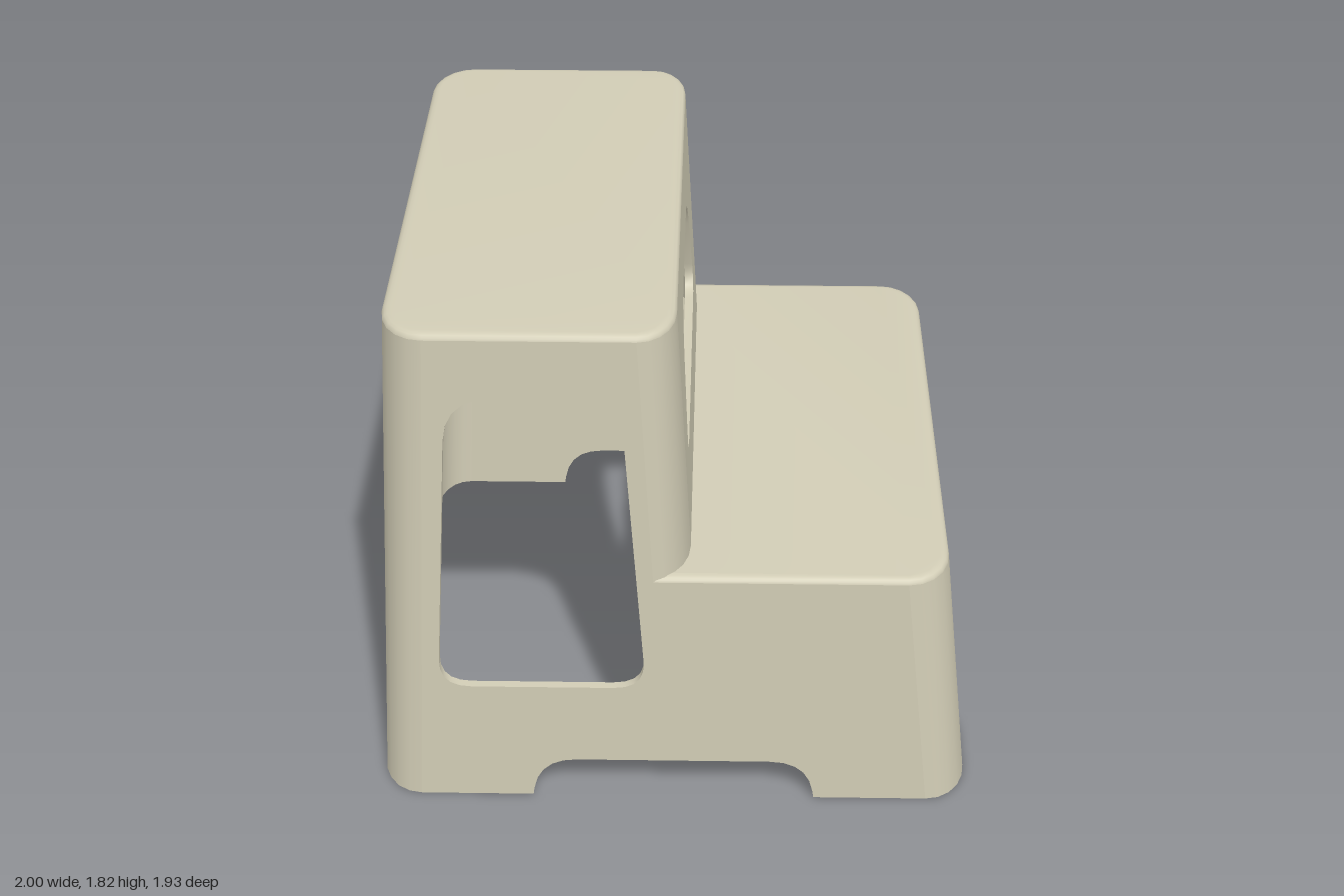
import * as THREE from 'three';
import { toCreasedNormals } from 'three/addons/utils/BufferGeometryUtils.js';

const HZ = 0.967;          // half depth
const T = 0.03;            // wall thickness
const RZ = 0.18;           // corner radius along z
const STEP = 0.9, TOP = 1.8; // wall heights below the two treads

// Sloping walls: x = x0 + slope * y, corner radius rx, dir = outward side
const leftWall = { x0: -1, slope: 0.053, rx: 0.14, dir: -1 };
const stepWall = { x0: 1, slope: -0.11, rx: 0.14, dir: 1 };
const towerWall = { x0: 0.102, slope: -0.051, rx: 0.12, dir: 1 };
const edge = (w, y) => w.x0 + w.slope * y;
const flat = (w, y) => edge(w, y) - w.dir * w.rx;

const material = new THREE.MeshStandardMaterial({ color: 0xd2cdb6 });

function addMesh(group, name, geometry) {
  const mesh = new THREE.Mesh(toCreasedNormals(geometry, 0.65), material);
  mesh.name = name;
  group.add(mesh);
}

// Closed polygon of [x, y, cornerSize]; corners with a size are rounded
function roundedPoly(corners, target = new THREE.Shape()) {
  const n = corners.length;
  const toward = (a, b, d) => {
    const k = d / Math.hypot(b[0] - a[0], b[1] - a[1]);
    return [a[0] + (b[0] - a[0]) * k, a[1] + (b[1] - a[1]) * k];
  };
  corners.forEach((c, i) => {
    const d = c[2] || 0;
    const start = toward(c, corners[(i + n - 1) % n], d);
    const end = toward(c, corners[(i + 1) % n], d);
    if (i === 0) target.moveTo(...start); else target.lineTo(...start);
    if (d) target.quadraticCurveTo(c[0], c[1], ...end);
  });
  target.closePath();
  return target;
}

// Symmetric rounded trapezoid opening
const opening = (cx, bottomHalf, y0, d0, topHalf, y1, d1) => roundedPoly([
  [cx - bottomHalf, y0, d0], [cx - topHalf, y1, d1],
  [cx + topHalf, y1, d1], [cx + bottomHalf, y0, d0],
], new THREE.Path());

// Foot arch along a bottom edge
const arch = (a, b, h, d) => [[-a, 0], [-b, h, d], [b, h, d], [a, 0]];

const panel = (shape) =>
  new THREE.ExtrudeGeometry(shape, { depth: T, bevelEnabled: false, curveSegments: 5 });

// Stands a panel drawn in (z, y) on a sloping wall
function slopedPanel(shape, wall) {
  const x = wall.x0 - (wall.dir > 0 ? T : 0);
  return panel(shape).applyMatrix4(new THREE.Matrix4().set(
    0, wall.slope, 1, x,
    0, 1, 0, 0,
    -1, 0, 0, 0,
    0, 0, 0, 1));
}

// Solid through matching rings { y, pts: Vector2(x, -z) }, capped at both ends
function loft(rings) {
  if (THREE.ShapeUtils.isClockWise(rings[0].pts)) rings.forEach((r) => r.pts.reverse());
  const n = rings[0].pts.length, last = (rings.length - 1) * n;
  const position = [], index = [];
  rings.forEach((r) => r.pts.forEach((p) => position.push(p.x, r.y, -p.y)));
  for (let k = 0; k < last; k += n) {
    for (let i = 0; i < n; i++) {
      const j = (i + 1) % n;
      index.push(k + i, k + j, k + n + j, k + i, k + n + j, k + n + i);
    }
  }
  THREE.ShapeUtils.triangulateShape(rings[0].pts, []).forEach(([a, b, c]) => index.push(a, c, b));
  THREE.ShapeUtils.triangulateShape(rings[rings.length - 1].pts, [])
    .forEach(([a, b, c]) => index.push(last + a, last + b, last + c));
  const g = new THREE.BufferGeometry();
  g.setAttribute('position', new THREE.Float32BufferAttribute(position, 3));
  g.setIndex(index);
  return g;
}

// Quarter-ellipse from the wall (x side) round to the z side
function cornerArc(wall, y, side, inset = 0) {
  const pts = [];
  for (let i = 0; i <= 5; i++) {
    const a = (i / 5) * Math.PI / 2;
    pts.push(new THREE.Vector2(
      flat(wall, y) + wall.dir * (wall.rx - inset) * Math.cos(a),
      side * (HZ - RZ + (RZ - inset) * Math.sin(a))));
  }
  return pts;
}

function cornerPost(wall, y0, y1, side) {
  return loft([y0, y1].map((y) => ({
    y, pts: [...cornerArc(wall, y, side), ...cornerArc(wall, y, side, T).reverse()],
  })));
}

// Tread with a softened upper edge; outline(inset) gives its contour
function tread(y, outline) {
  const rings = [];
  for (let i = 0; i <= 4; i++) {
    const a = (i / 4) * Math.PI / 2;
    rings.push({ y: y + 0.02 * Math.sin(a), pts: outline(0.028 * (1 - Math.cos(a))) });
  }
  return loft(rings);
}

export function createModel() {
  const group = new THREE.Group();
  group.name = 'stepStool';
  const flatZ = HZ - RZ;

  // Front and back sides: stepped outline, tall opening, foot arch
  const side = roundedPoly([
    [flat(leftWall, 0), 0], ...arch(0.478, 0.455, 0.155, 0.13), [flat(stepWall, 0), 0],
    [flat(stepWall, STEP), STEP], [flat(towerWall, STEP), STEP],
    [flat(towerWall, TOP), TOP], [flat(leftWall, TOP), TOP],
  ]);
  side.holes.push(opening(-0.435, 0.345, 0.465, 0.11, 0.272, 1.595, 0.16));
  addMesh(group, 'frontSide', panel(side).translate(0, 0, HZ - T));
  addMesh(group, 'backSide', panel(side).translate(0, 0, -HZ));

  // Lower riser with hand opening and foot arch
  const lower = roundedPoly([
    [-flatZ, 0], ...arch(0.582, 0.56, 0.195, 0.14), [flatZ, 0], [flatZ, STEP], [-flatZ, STEP],
  ]);
  lower.holes.push(opening(0, 0.465, 0.4, 0.085, 0.37, 0.73, 0.13));
  addMesh(group, 'lowerRiser', slopedPanel(lower, stepWall));

  // Upper riser with hand opening
  const upper = roundedPoly([[-flatZ, STEP], [flatZ, STEP], [flatZ, TOP], [-flatZ, TOP]]);
  upper.holes.push(opening(0, 0.592, 1.13, 0.11, 0.405, 1.595, 0.16));
  addMesh(group, 'upperRiser', slopedPanel(upper, towerWall));

  // Plain tall wall
  const tall = roundedPoly([[-flatZ, 0], [flatZ, 0], [flatZ, TOP], [-flatZ, TOP]]);
  addMesh(group, 'tallWall', slopedPanel(tall, leftWall));

  // Rounded corners
  for (const s of [-1, 1]) {
    addMesh(group, 'tallCorner', cornerPost(leftWall, 0, TOP, s));
    addMesh(group, 'upperCorner', cornerPost(towerWall, STEP, TOP, s));
    addMesh(group, 'lowerCorner', cornerPost(stepWall, 0, STEP, s));
  }

  // Inset copy of a corner arc, keeping the outline parallel
  const insetArc = (wall, y, s, d) => cornerArc(wall, y, s, d);

  addMesh(group, 'topTread', tread(TOP, (d) => [
    ...insetArc(towerWall, TOP, 1, d), ...insetArc(leftWall, TOP, 1, d).reverse(),
    ...insetArc(leftWall, TOP, -1, d), ...insetArc(towerWall, TOP, -1, d).reverse(),
  ]));

  // The lower tread wraps around the foot of the upper riser
  const clampZ = (pts, d) => pts.map((p) =>
    new THREE.Vector2(p.x - 0.005, THREE.MathUtils.clamp(p.y, d - HZ, HZ - d)));
  addMesh(group, 'lowerTread', tread(STEP, (d) => [
    ...insetArc(stepWall, STEP, 1, d), ...clampZ(cornerArc(towerWall, STEP, 1), d).reverse(),
    ...clampZ(cornerArc(towerWall, STEP, -1), d), ...insetArc(stepWall, STEP, -1, d).reverse(),
  ]));

  return group;
}
